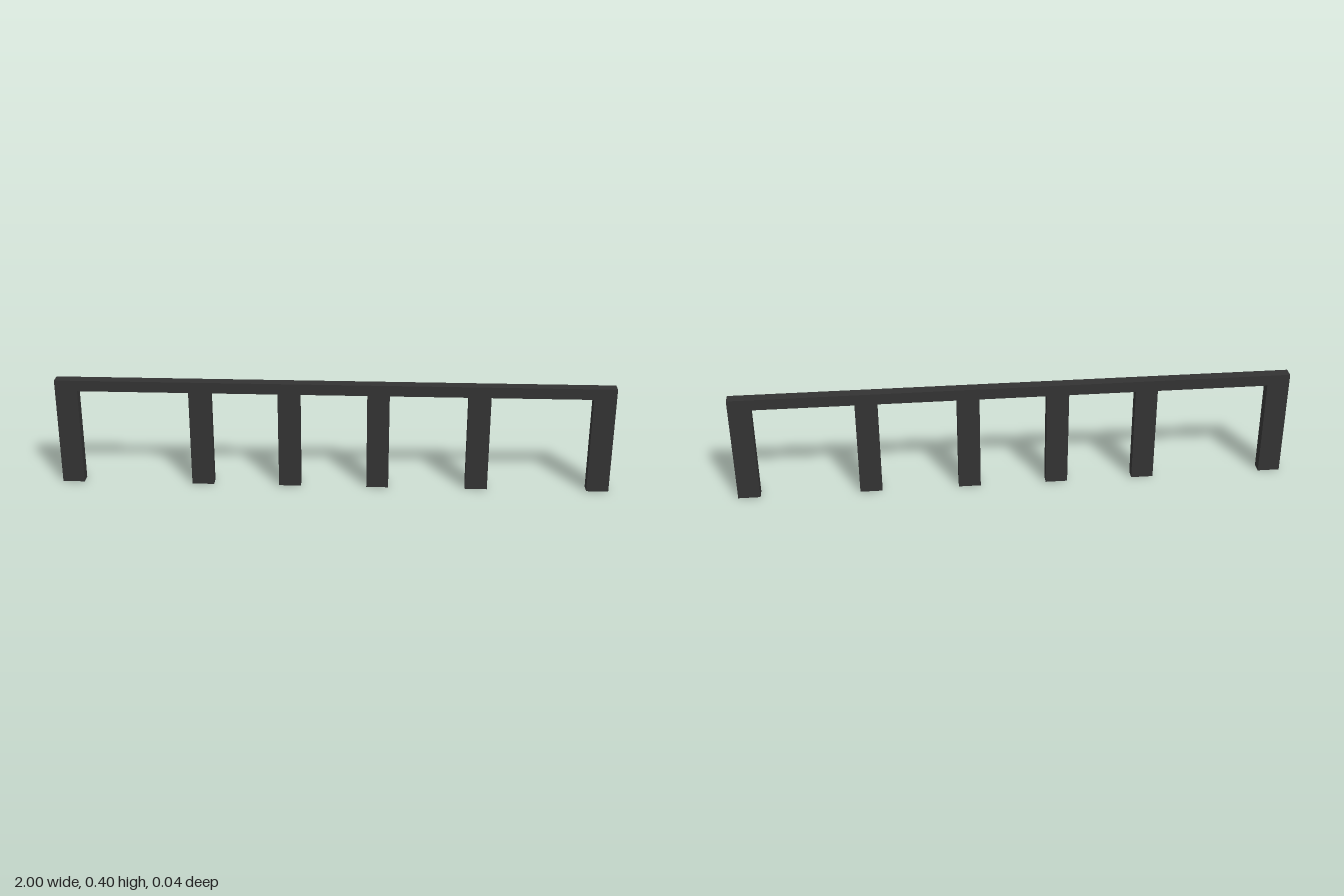
import * as THREE from 'three';

const HEIGHT = 0.4, BEAM = 0.04, DEPTH = 0.04, POST_WIDTH = 0.08;

export function createModel() {
  const model = new THREE.Group();
  model.name = 'postFrame';
  const charcoal = new THREE.MeshStandardMaterial({ name: 'charcoal', color: 0x333333 });

  const addBox = (name, w, h, x, y) => {
    const mesh = new THREE.Mesh(new THREE.BoxGeometry(w, h, DEPTH), charcoal);
    mesh.name = name;
    mesh.position.set(x, y, 0);
    model.add(mesh);
  };

  // Top rail across the full length
  addBox('topRail', 2, BEAM, 0, HEIGHT - BEAM / 2);

  // Posts under the rail, unevenly spaced
  const postHeight = HEIGHT - BEAM;
  [-0.96, -0.48, -0.16, 0.16, 0.52, 0.96].forEach((x, i) =>
    addBox(`post${i + 1}`, POST_WIDTH, postHeight, x, postHeight / 2));

  return model;
}
